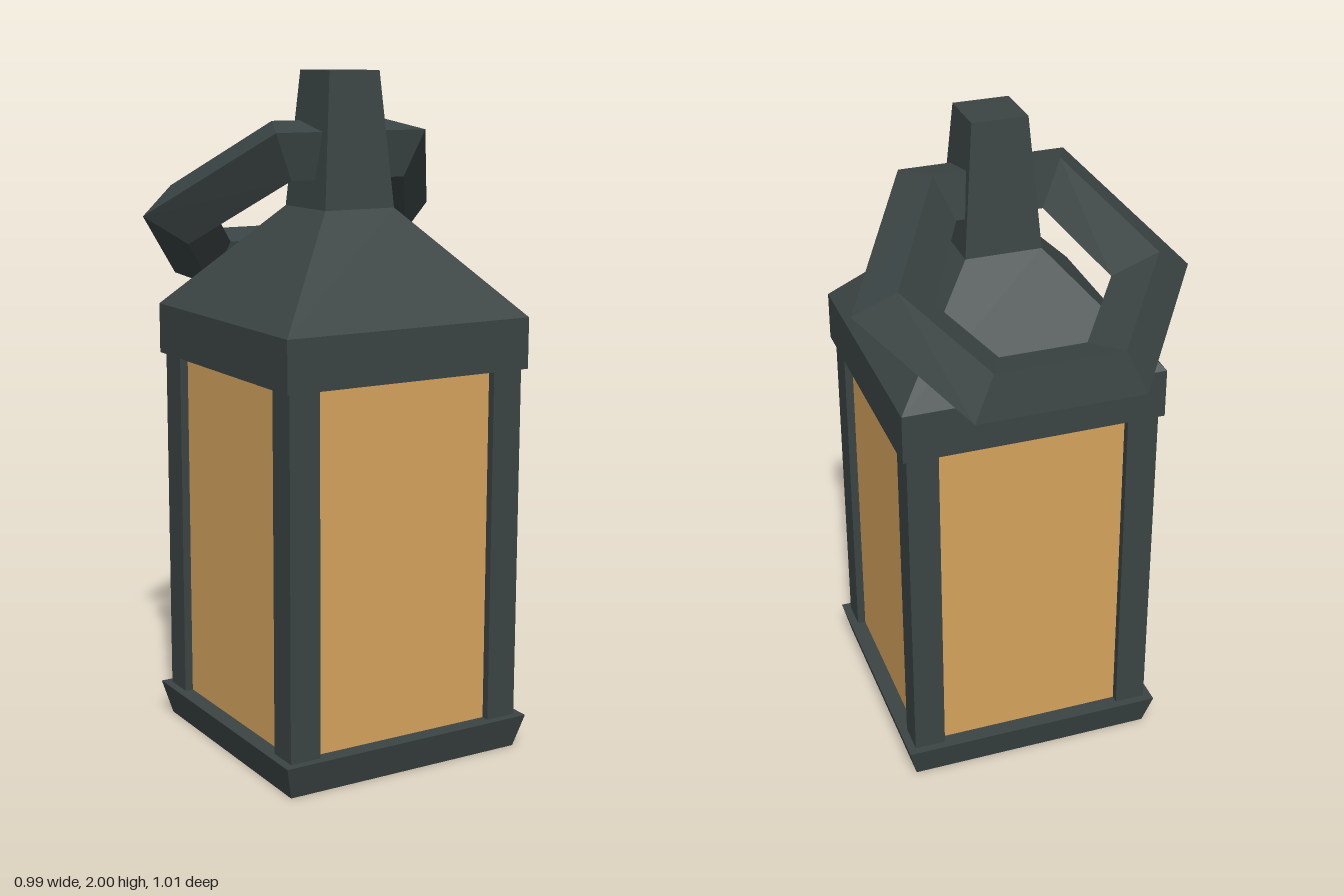
import * as THREE from 'three';

export function createModel() {
  const metal = new THREE.MeshStandardMaterial({ name: 'darkMetal', color: 0x3b4444, flatShading: true });
  const amber = new THREE.MeshStandardMaterial({ name: 'amberGlass', color: 0xd6a35d, flatShading: true });

  const model = new THREE.Group();
  model.name = 'lantern';
  const body = new THREE.Group();
  body.name = 'body';
  body.position.set(-0.005, 0, 0.095);
  model.add(body);

  const add = (parent, name, geometry, material) => {
    const mesh = new THREE.Mesh(geometry, material);
    mesh.name = name;
    parent.add(mesh);
    return mesh;
  };

  // Square block tapering from half-width lower (at y0) to upper (at y1)
  const frustum = (name, lower, upper, y0, y1) => {
    const g = new THREE.CylinderGeometry(upper * Math.SQRT2, lower * Math.SQRT2, y1 - y0, 4);
    g.rotateY(Math.PI / 4).translate(0, (y0 + y1) / 2, 0);
    return add(body, name, g, metal);
  };
  frustum('base', 0.382, 0.408, 0, 0.1);
  frustum('roofBand', 0.397, 0.397, 1.155, 1.305);
  frustum('roof', 0.397, 0.115, 1.305, 1.61);
  frustum('chimney', 0.115, 0.083, 1.61, 2);

  // Corner posts
  const post = 0.095;
  const postAt = 0.383 - post / 2;
  for (const sx of [-1, 1]) {
    for (const sz of [-1, 1]) {
      add(body, 'cornerPost', new THREE.BoxGeometry(post, 1.055, post), metal)
        .position.set(sx * postAt, 0.6275, sz * postAt);
    }
  }

  // Glass panes, slightly recessed between the posts
  for (let i = 0; i < 4; i++) {
    const g = new THREE.BoxGeometry(0.6, 1.055, 0.008);
    g.translate(0, 0.6275, 0.354).rotateY(i * Math.PI / 2);
    add(body, 'glassPane', g, amber);
  }

  // Six-sided carrying ring with a diamond section, tilted back through the chimney
  const handle = add(model, 'handleRing', ringGeometry(), metal);
  handle.position.set(-0.002, 1.58, -0.198);
  handle.rotation.x = -0.604;
  return model;
}

function ringGeometry() {
  // Each corner: centre x, z and outward offset x, z
  const corners = [
    [0.378, 0, 0.118, 0], [0.189, 0.343, 0.06, 0.095], [-0.189, 0.343, -0.06, 0.095],
    [-0.378, 0, -0.118, 0], [-0.189, -0.282, -0.06, -0.092], [0.189, -0.282, 0.06, -0.092],
  ];
  const h = 0.1;
  const positions = [];
  const index = [];
  corners.forEach(([x, z, dx, dz], i) => {
    // Outer, upper, inner, lower
    positions.push(x + dx, 0, z + dz, x, h, z, x - dx, 0, z - dz, x, -h, z);
    for (let j = 0; j < 4; j++) {
      const a = i * 4 + j;
      const b = i * 4 + (j + 1) % 4;
      const c = ((i + 1) % 6) * 4 + j;
      const d = ((i + 1) % 6) * 4 + (j + 1) % 4;
      index.push(a, b, d, a, d, c);
    }
  });
  const g = new THREE.BufferGeometry();
  g.setAttribute('position', new THREE.Float32BufferAttribute(positions, 3));
  g.setIndex(index);
  g.computeVertexNormals();
  return g;
}
